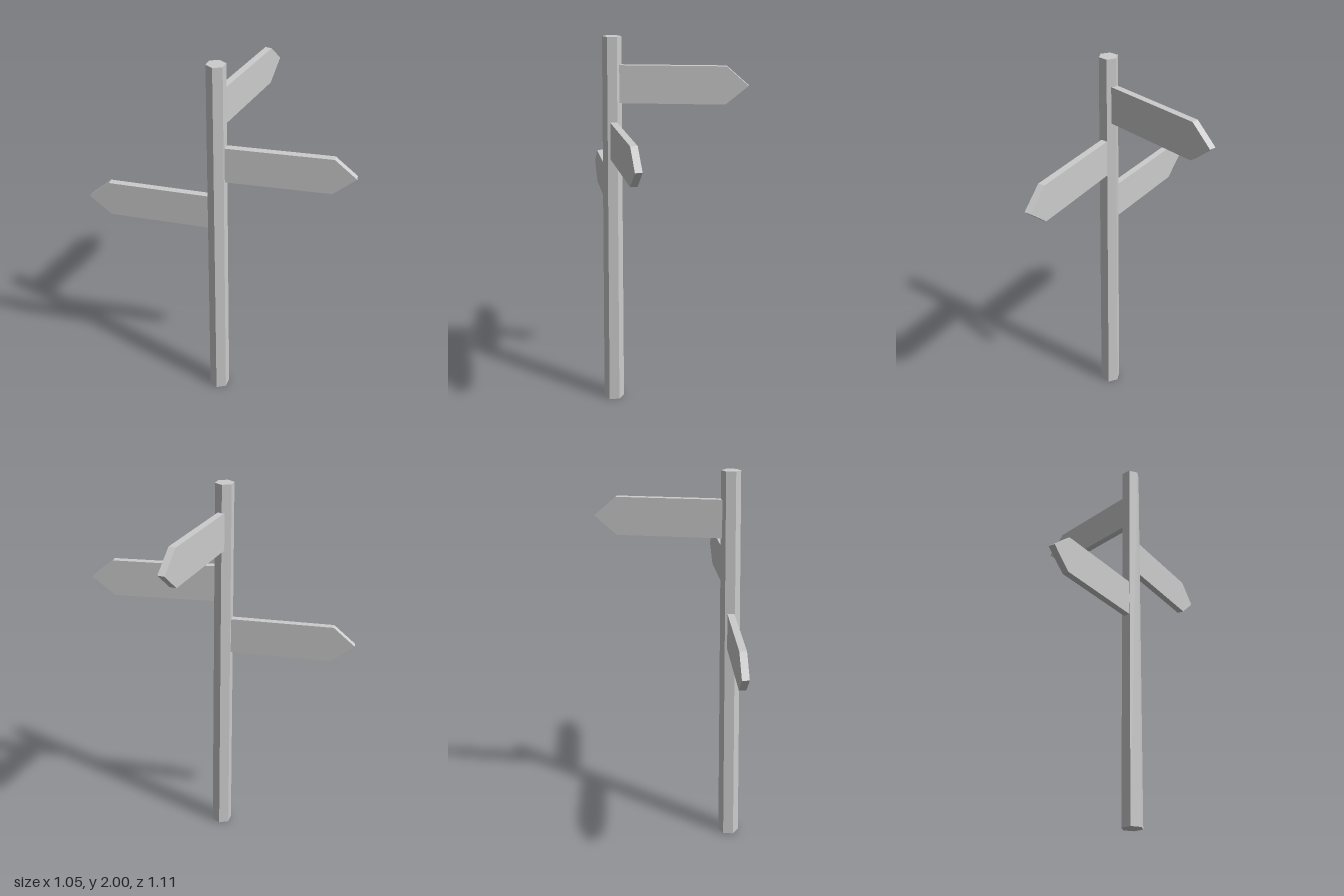
import * as THREE from 'three';

export function createModel() {
  const group = new THREE.Group();
  group.name = 'signpost';
  const grey = new THREE.MeshStandardMaterial({ color: 0xcccccc, flatShading: true });
  grey.name = 'light grey';

  // Slightly tapered six-sided post
  const postX = -0.11, postZ = 0.007;
  const post = new THREE.Mesh(new THREE.CylinderGeometry(0.048, 0.055, 2, 6), grey);
  post.name = 'post';
  post.position.set(postX, 1, postZ);
  group.add(post);

  // Pointed board running out along +x from the post axis
  const start = 0.03, shoulder = 0.57, tip = 0.682, half = 0.095, thick = 0.035;
  const outline = new THREE.Shape([
    new THREE.Vector2(start, -half),
    new THREE.Vector2(shoulder, -half),
    new THREE.Vector2(tip, 0),
    new THREE.Vector2(shoulder, half),
    new THREE.Vector2(start, half),
  ]);
  const board = new THREE.ExtrudeGeometry(outline, { depth: thick, bevelEnabled: false });
  board.translate(0, 0, -thick / 2);

  // Three boards: name, height of the centre, direction in x and z
  const signs = [
    ['upperSign', 1.765, 0.627, -0.266],
    ['middleSign', 1.48, 0.4235, 0.5345],
    ['lowerSign', 1.195, -0.4025, -0.554],
  ];
  for (const [name, y, dx, dz] of signs) {
    const sign = new THREE.Mesh(board, grey);
    sign.name = name;
    sign.position.set(postX, y, postZ);
    sign.rotation.y = Math.atan2(-dz, dx);
    group.add(sign);
  }
  return group;
}
